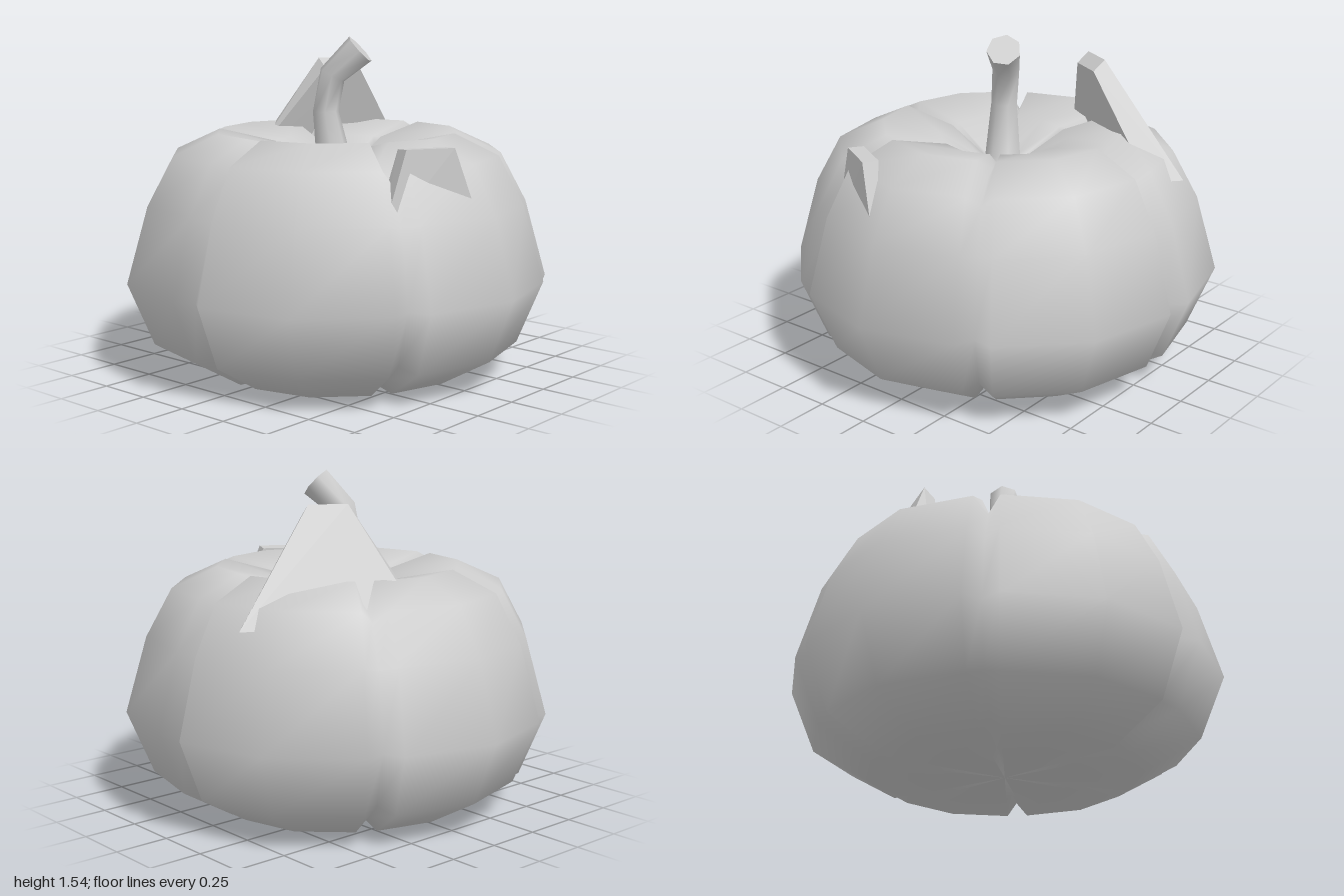
import * as THREE from 'three';
import { ConvexGeometry } from 'three/addons/geometries/ConvexGeometry.js';

// Skin over closed rings of equal point count, listed from bottom to top
function loft(rings) {
  const n = rings[0].length, index = [];
  for (let i = 0; i < rings.length - 1; i++) {
    for (let j = 0; j < n; j++) {
      const k = (j + 1) % n, a = i * n + j, b = i * n + k;
      index.push(a, b, b + n, a, b + n, a + n);
    }
  }
  const geometry = new THREE.BufferGeometry().setFromPoints(rings.flat());
  geometry.setIndex(index);
  geometry.computeVertexNormals();
  return geometry;
}

// Six lobes with narrow creases between them; profiles are [radius, height]
function bodyGeometry() {
  const lobe = [[0, 0.005], [0.33, 0.005], [0.62, 0.01], [0.88, 0.16], [1, 0.45], [0.9, 0.8],
    [0.78, 1.02], [0.57, 1.115], [0.3, 1.06], [0.1, 0.94], [0, 0.92]];
  const crease = [[0, 0.005], [0.33, 0.03], [0.56, 0.06], [0.8, 0.19], [0.91, 0.45], [0.82, 0.78],
    [0.7, 0.96], [0.53, 1.02], [0.29, 0.99], [0.1, 0.93], [0, 0.92]];
  return loft(lobe.map(([r, y], i) => {
    const ring = [];
    for (let k = 0; k < 6; k++) {
      const columns = [[0, r, y], [25.5, r * 0.975, y], [30, ...crease[i]], [34.5, r * 0.975, y]];
      for (const [degrees, radius, height] of columns) {
        const a = THREE.MathUtils.degToRad(k * 60 + degrees);
        ring.push(new THREE.Vector3(Math.cos(a) * radius, height, -Math.sin(a) * radius));
      }
    }
    return ring;
  }));
}

// Bent stem: rows are x, y, z, radius
function stemGeometry() {
  const path = [[0, 0.9, 0, 0.11], [-0.01, 0.96, 0.01, 0.085], [-0.045, 1.2, 0.03, 0.062],
    [-0.025, 1.37, 0.005, 0.064], [0.085, 1.49, -0.065, 0.078]];
  const centres = path.map(([x, y, z]) => new THREE.Vector3(x, y, z));
  const up = new THREE.Vector3(0, 1, 0);
  const rings = path.map(([, , , r], i) => {
    const before = centres[Math.max(i - 1, 0)], after = centres[Math.min(i + 1, path.length - 1)];
    const turn = new THREE.Quaternion().setFromUnitVectors(up, after.clone().sub(before).normalize());
    return Array.from({ length: 7 }, (_, j) => {
      const a = (j / 7) * Math.PI * 2;
      return new THREE.Vector3(Math.cos(a) * r, 0, -Math.sin(a) * r).applyQuaternion(turn).add(centres[i]);
    });
  });
  // Flat cut end with a hard rim
  const tip = rings[rings.length - 1];
  rings.push(tip.map((p) => p.clone()), tip.map(() => centres[centres.length - 1].clone()));
  return loft(rings);
}

const slabGeometry = (corners) => new ConvexGeometry(corners.map((c) => new THREE.Vector3(...c)));

export function createModel() {
  const group = new THREE.Group();
  const grey = new THREE.MeshStandardMaterial({ color: 0xcccccc });
  grey.name = 'plainGrey';
  const add = (name, geometry) => {
    const mesh = new THREE.Mesh(geometry, grey);
    mesh.name = name;
    group.add(mesh);
  };

  add('pumpkinBody', bodyGeometry());
  add('stem', stemGeometry());

  // Tapered slabs rising out of the body: inner face, then outer face
  add('largeSlab', slabGeometry([
    [-0.27, 1.385, -0.22], [-0.18, 1.385, -0.37], [-0.16, 0.93, -0.69], [-0.56, 0.93, 0.0],
    [-0.33, 1.43, -0.24], [-0.24, 1.43, -0.39], [-0.28, 0.93, -0.8], [-0.66, 0.93, -0.1],
  ]));
  add('smallSlab', slabGeometry([
    [0.61, 1.1, 0.31], [0.72, 1.1, 0.12], [0.77, 0.72, 0.04], [0.56, 0.72, 0.42],
    [0.68, 1.105, 0.34], [0.79, 1.105, 0.15], [0.86, 0.72, 0.03], [0.64, 0.72, 0.46],
  ]));
  return group;
}
